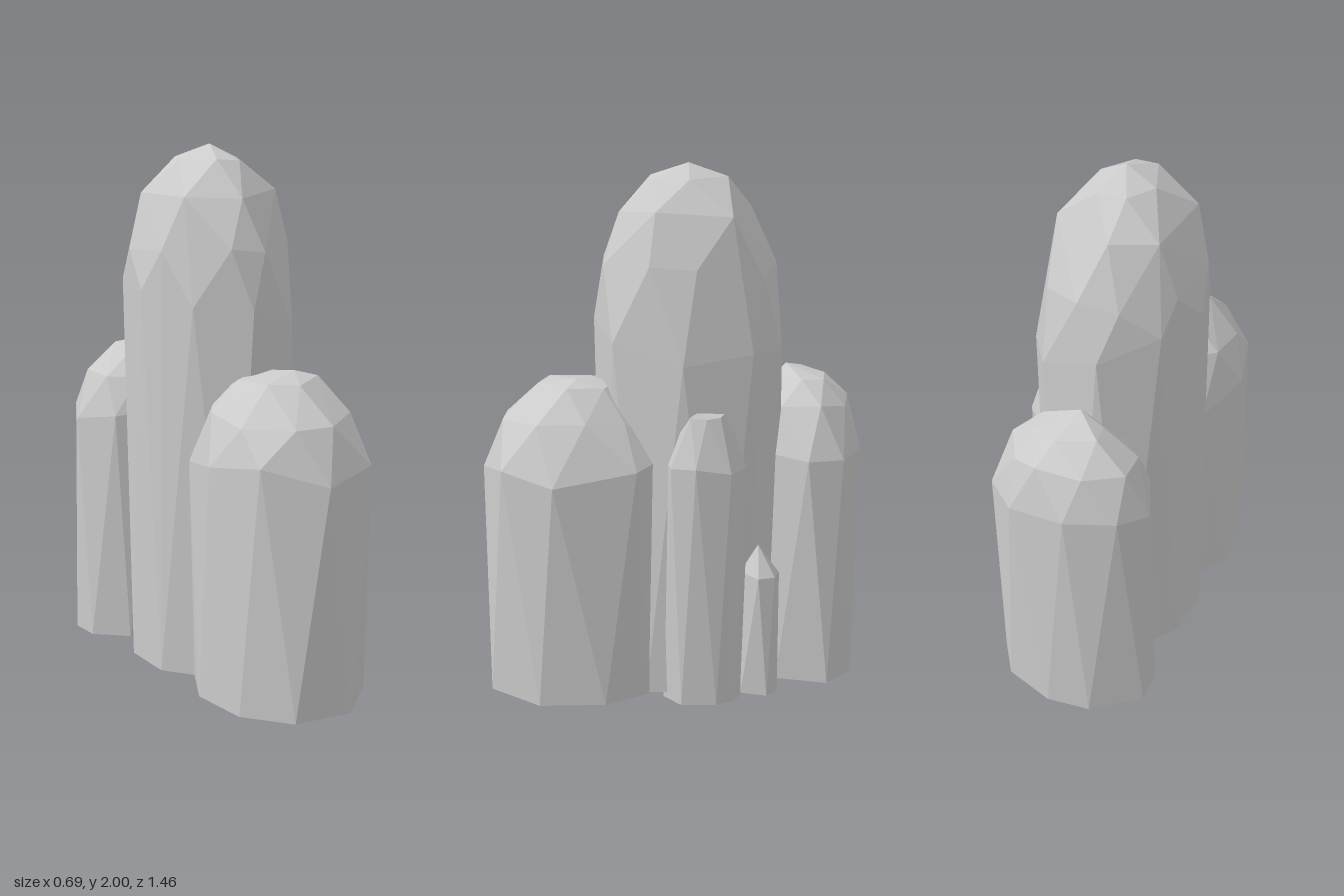
import * as THREE from 'three';
import { ConvexGeometry } from 'three/addons/geometries/ConvexGeometry.js';

const material = new THREE.MeshStandardMaterial({ color: 0xcccccc, flatShading: true });

// small seeded generator, returns -1..1
function seeded(seed) {
  let s = seed;
  return () => {
    s = (s * 16807) % 2147483647;
    return (s / 2147483647) * 2 - 1;
  };
}

// spread values so that they exactly fill the span lo..hi
function fit(values, lo, hi) {
  const min = Math.min(...values);
  const max = Math.max(...values);
  return values.map((v) => THREE.MathUtils.mapLinear(v, min, max, lo, hi));
}

// A faceted stone column: the hull of staggered oval rings and a peak.
// ring: [y, xMin, xMax, zMin, zMax, height variation, rise towards -x]
function column(name, sides, seed, rings, peak) {
  const rnd = seeded(seed);
  const points = [new THREE.Vector3(...peak)];
  rings.forEach(([y, x0, x1, z0, z1, dy = 0, rise = 0], level) => {
    const n = level > 2 ? sides - 3 : sides;
    const angles = Array.from({ length: n }, (_, i) =>
      ((i + (level % 2) * 0.5 + 0.18 * rnd()) / n) * Math.PI * 2);
    const xs = fit(angles.map(Math.cos), x0, x1);
    const zs = fit(angles.map(Math.sin), z0, z1);
    angles.forEach((a, i) => points.push(
      new THREE.Vector3(xs[i], y + dy * rnd() - rise * Math.cos(a), zs[i])));
  });
  const mesh = new THREE.Mesh(new ConvexGeometry(points), material);
  mesh.name = name;
  return mesh;
}

export function createModel() {
  const group = new THREE.Group();
  group.name = 'rockColumns';
  group.add(
    // tall central pillar
    column('centralPillar', 9, 11, [
      [0.025, -0.32, 0.27, -0.42, 0.28],
      [1.4, -0.33, 0.27, -0.43, 0.29, 0.03, 0.09],
      [1.62, -0.305, 0.24, -0.395, 0.265, 0.03],
      [1.82, -0.24, 0.18, -0.315, 0.195, 0.02],
      [1.95, -0.15, 0.08, -0.2, 0.08, 0.005],
    ], [-0.03, 2.0, -0.06]),
    // broad pillar in front, running back under the central one
    column('frontPillar', 9, 23, [
      [0.02, -0.33, 0.275, 0.02, 0.725],
      [0.91, -0.33, 0.275, 0.0, 0.72, 0.04],
      [1.08, -0.265, 0.205, 0.1, 0.65, 0.02],
      [1.195, -0.15, 0.1, 0.22, 0.51, 0.01],
    ], [0.03, 1.22, 0.38]),
    // broad pillar behind
    column('backPillar', 9, 37, [
      [0.02, -0.345, 0.27, -0.73, -0.3],
      [0.93, -0.345, 0.265, -0.73, -0.29, 0.03],
      [1.1, -0.27, 0.2, -0.68, -0.34, 0.02],
      [1.19, -0.15, 0.1, -0.6, -0.42, 0.01],
    ], [-0.04, 1.23, -0.45]),
    // slim pillar on the left side
    column('sidePillar', 8, 41, [
      [0, 0.11, 0.325, -0.22, 0.09],
      [0.92, 0.13, 0.345, -0.21, 0.08, 0.03],
      [1.11, 0.2, 0.29, -0.14, 0.02, 0.01],
    ], [0.26, 1.13, -0.01]),
    // small pointed stub
    column('smallStub', 6, 53, [
      [0.01, 0.16, 0.31, -0.34, -0.2],
      [0.49, 0.17, 0.315, -0.35, -0.2, 0.015],
    ], [0.25, 0.6, -0.265])
  );
  return group;
}
